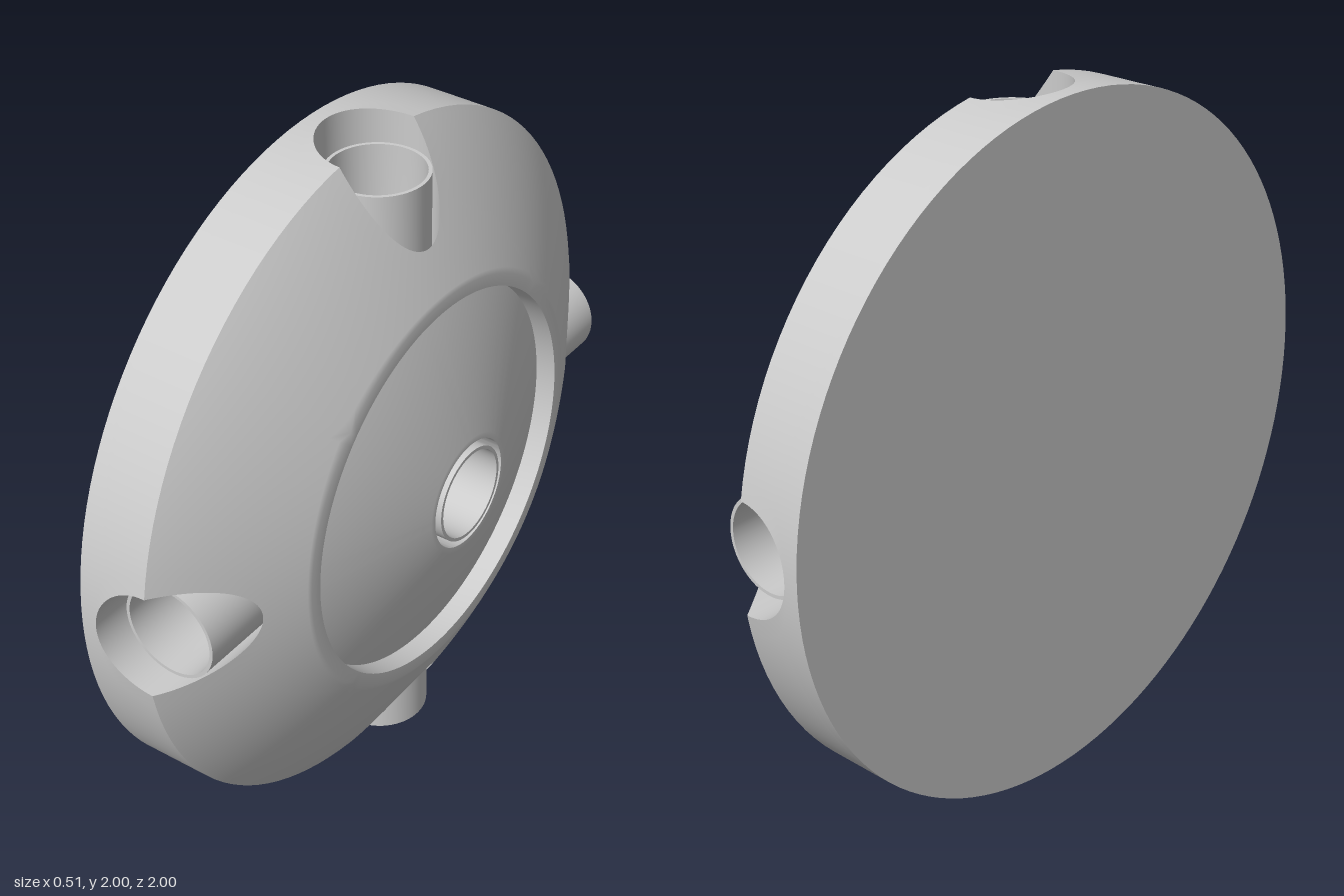
import * as THREE from 'three';
import { mergeGeometries, mergeVertices, toCreasedNormals } from 'three/addons/utils/BufferGeometryUtils.js';

const BACK = -0.255, CREASE = -0.05, TOP = 0.17; // heights along the disc axis
const HOLE_R = 0.16, POCKET_FLOOR = 0.5, LIP_R = 0.565;
const lerp = THREE.MathUtils.lerp;

// Radius of the body at height h: nearly straight rim below the crease, convex dome above
function radiusAt(h) {
  const u = h - CREASE;
  return u < 0 ? lerp(0.998, 1, u / (BACK - CREASE)) : 0.998 - 1.4 * u - 1.86 * u * u;
}

const polar = (r, h, a) => [r * Math.cos(a), h, r * Math.sin(a)];

// Hole edge in (height, angle) where a radial cylinder meets the body
function holeEdge(phi) {
  const h = CREASE + HOLE_R * Math.cos(phi);
  return [h, Math.asin(HOLE_R * Math.sin(phi) / radiusAt(h))];
}

// Grid surface from a function of u, v in 0..1
function gridSurface(fn, nu, nv) {
  const pos = [], idx = [];
  for (let i = 0; i <= nu; i++) {
    for (let j = 0; j <= nv; j++) {
      pos.push(...fn(i / nu, j / nv));
      if (i === nu || j === nv) continue;
      const a = i * (nv + 1) + j, b = a + nv + 1;
      idx.push(a, a + 1, b, a + 1, b + 1, b);
    }
  }
  const geo = new THREE.BufferGeometry();
  geo.setAttribute('position', new THREE.Float32BufferAttribute(pos, 3));
  geo.setIndex(idx);
  return geo;
}

// Quarter of the dome or rim, spreading from half a hole edge to the quarter's border
function quarterPatch(dir, hEnd) {
  return gridSurface((s, t) => {
    const phi = (dir > 0 ? -Math.PI / 2 : Math.PI / 2) + Math.PI * s;
    const [h, a] = holeEdge(phi);
    const outH = lerp(CREASE, hEnd, Math.min(1, 4 * s, 4 * (1 - s)));
    const outA = dir * lerp(-1, 1, THREE.MathUtils.clamp(2 * s - 0.5, 0, 1)) * Math.PI / 4;
    const height = lerp(h, outH, t);
    return polar(radiusAt(height), height, lerp(a, outA, t));
  }, 64, 12);
}

// Four copies around the axis, welded and smoothed
function fourfold(...parts) {
  const copies = [0, 1, 2, 3].flatMap(k => parts.map(g => g.clone().rotateY(k * Math.PI / 2)));
  const merged = mergeVertices(mergeGeometries(copies), 1e-4);
  merged.computeVertexNormals();
  return merged;
}

function lathe(points, segments) {
  const geo = new THREE.LatheGeometry(points.map(p => new THREE.Vector2(...p)), segments);
  return toCreasedNormals(geo, 0.5);
}

export function createModel() {
  const model = new THREE.Group();
  model.name = 'discHub';
  const material = new THREE.MeshStandardMaterial({ color: 0xcccccc });
  const add = (name, geo) => {
    const mesh = new THREE.Mesh(geo, material);
    mesh.name = name;
    model.add(mesh);
    return mesh;
  };

  // Outer shell, with an opening in each quarter; the dome rolls into a narrow flat lip
  const lip = gridSurface((u, v) =>
    polar(lerp(radiusAt(TOP), LIP_R, v), TOP, lerp(-1, 1, u) * Math.PI / 4), 32, 1);
  add('dome', fourfold(quarterPatch(1, TOP), lip));
  add('rim', fourfold(quarterPatch(-1, BACK)));
  add('backPlate', new THREE.CircleGeometry(1, 128).rotateX(Math.PI / 2).translate(0, BACK, 0));

  // Pocket walls running inward from the openings
  add('pocketWalls', fourfold(gridSurface((u, v) => {
    const phi = u * Math.PI * 2;
    const [h, a] = holeEdge(phi);
    return [lerp(POCKET_FLOOR, radiusAt(h) * Math.cos(a), v), h, HOLE_R * Math.sin(phi)];
  }, 128, 1)));

  // Recessed face: step, shallow cone and centre bore
  add('recessedFace', lathe([
    [LIP_R, TOP], [LIP_R, 0.109], [0.178, 0.25], [HOLE_R, 0.25], [HOLE_R, 0.1], [0.13, 0.1],
  ], 128));

  // Socket cups: straight bore tapering to a small flat end
  const profile = [[0.14, -0.45], [0.14, 0], [0.13, 0], [0.13, -0.2]];
  for (let i = 1; i <= 8; i++) {
    const a = i / 8 * 1.2;
    profile.push([0.13 * Math.cos(a), -0.2 - 0.25 * Math.sin(a)]);
  }
  profile.push([0, profile.at(-1)[1]]);
  const cup = lathe(profile, 64);

  add('centreSocket', cup).position.y = 0.255;
  for (let k = 0; k < 4; k++) {
    const geo = cup.clone().rotateZ(-Math.PI / 2).translate(0.905, CREASE, 0);
    add('sideSocket' + (k + 1), geo.rotateY(k * Math.PI / 2));
  }

  // Stand the disc on its rim, domed face toward +x
  model.rotation.z = -Math.PI / 2;
  model.position.y = 1;
  const root = new THREE.Group();
  root.name = 'model';
  root.add(model);
  return root;
}
